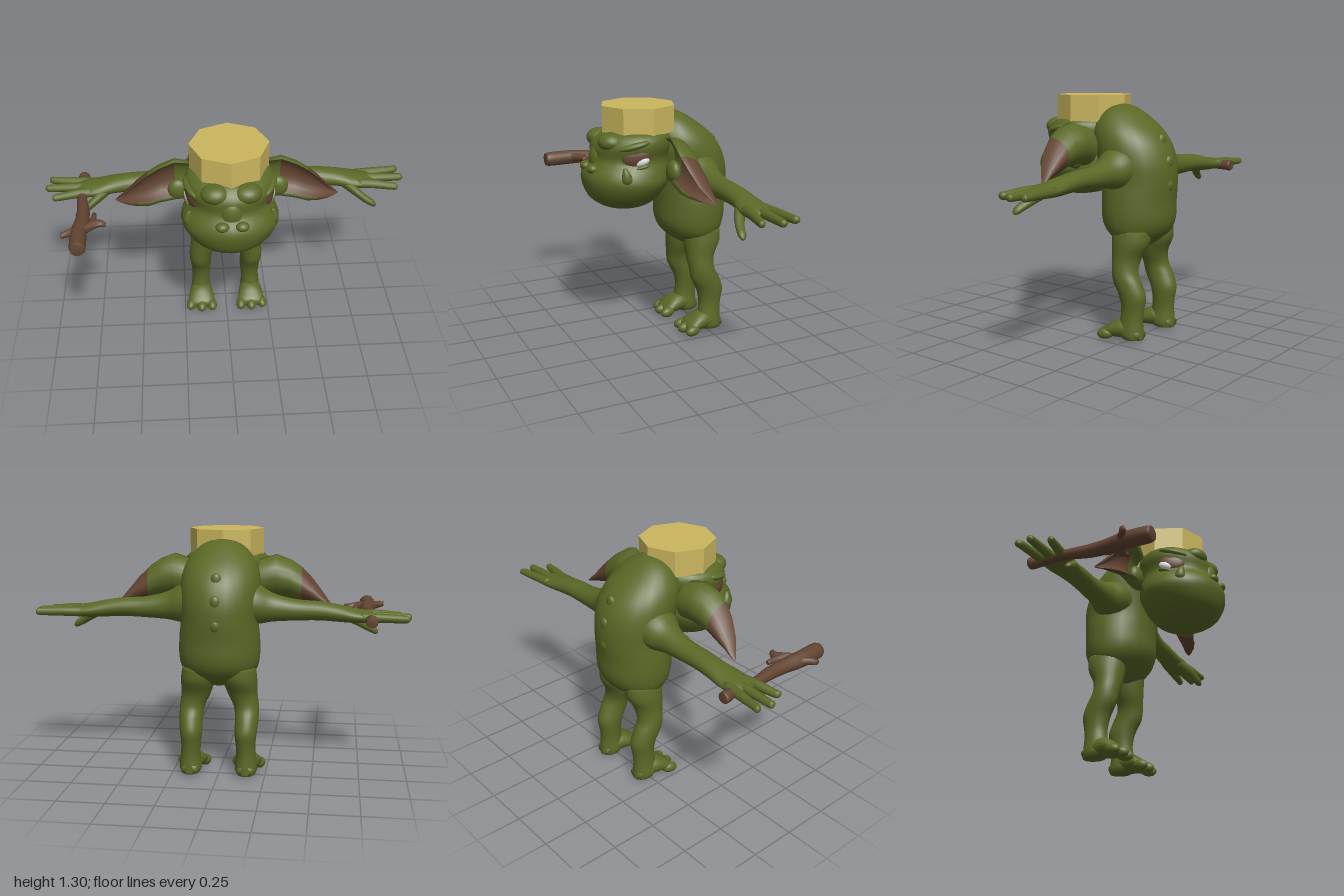
import * as THREE from 'three';

const mat = (name, color) => Object.assign(new THREE.MeshStandardMaterial({ color }), { name });
const green = mat('skinGreen', 0x5a6826);
const brown = mat('barkBrown', 0x624432);
const yellow = mat('hatYellow', 0xcab65e);
const white = mat('eyeWhite', 0xe2e2e2);

// Place (t, u, v) so that u x v points along the chosen axis
const PLACE = {
  x: (t, u, v) => [t, u, v],
  y: (t, u, v) => [v, t, u],
  z: (t, u, v) => [u, v, t],
};

// Smooth closed skin over elliptical sections [t, u, v, ru, rv], t ascending
function loft(axis, sections, steps = 4, sides = 24) {
  const centre = new THREE.CatmullRomCurve3(sections.map(s => new THREE.Vector3(s[0], s[1], s[2])), false, 'catmullrom');
  const radius = new THREE.CatmullRomCurve3(sections.map(s => new THREE.Vector3(s[3], s[4] ?? s[3], 0)), false, 'catmullrom');
  const rings = (sections.length - 1) * steps;
  const pos = [], idx = [];
  for (let i = 0; i <= rings; i++) {
    const c = centre.getPoint(i / rings), r = radius.getPoint(i / rings);
    for (let j = 0; j < sides; j++) {
      const a = (j / sides) * Math.PI * 2;
      pos.push(...PLACE[axis](c.x, c.y + Math.cos(a) * r.x, c.z + Math.sin(a) * r.y));
    }
  }
  for (let i = 0; i < rings; i++) for (let j = 0; j < sides; j++) {
    const a = i * sides + j, b = i * sides + (j + 1) % sides;
    idx.push(a, b, a + sides, b, b + sides, a + sides);
  }
  const first = sections[0], last = sections[sections.length - 1], n = pos.length / 3;
  pos.push(...PLACE[axis](first[0], first[1], first[2]), ...PLACE[axis](last[0], last[1], last[2]));
  for (let j = 0; j < sides; j++) {
    const k = (j + 1) % sides;
    idx.push(n, k, j, n + 1, rings * sides + j, rings * sides + k);
  }
  return finish(pos, idx);
}

function finish(pos, idx) {
  const g = new THREE.BufferGeometry();
  g.setAttribute('position', new THREE.Float32BufferAttribute(pos, 3));
  g.setIndex(idx);
  g.computeVertexNormals();
  return g;
}

// Upright section given by its front and back z: [y, front, back, halfWidth, x]
const upright = rows => loft('y', rows.map(([y, f, b, rx, x = 0]) => [y, (f + b) / 2, x, (f - b) / 2, rx]));

function ellipsoid(x, y, z, rx, ry, rz, turn = [0, 0, 0]) {
  const g = new THREE.SphereGeometry(1, 24, 16);
  g.scale(rx, ry, rz);
  g.applyMatrix4(new THREE.Matrix4().makeRotationFromEuler(new THREE.Euler(...turn, 'YXZ')));
  return g.translate(x, y, z);
}

function mirrored(geometry) {
  const g = geometry.clone().scale(-1, 1, 1);
  const a = g.index.array;
  for (let i = 0; i < a.length; i += 3) [a[i], a[i + 1]] = [a[i + 1], a[i]];
  return g;
}

// Hooded ear: bulging back shell plus a hollow front, brown inside and at the tip
function earGeometry() {
  // x, top, bottom, rim z, depth
  const rows = [
    [0.19, 1.14, 0.93, 0.03, 0.10], [0.28, 1.165, 0.935, 0.05, 0.13], [0.36, 1.135, 0.925, 0.06, 0.13],
    [0.42, 1.095, 0.905, 0.06, 0.125], [0.48, 1.035, 0.895, 0.045, 0.11], [0.54, 0.96, 0.887, 0.015, 0.075],
    [0.58, 0.91, 0.88, -0.02, 0.04], [0.605, 0.882, 0.878, -0.045, 0.005]];
  const half = 12, sides = half * 2, pos = [], parts = [[], []];
  for (const [x, top, bottom, rim, depth] of rows) for (let j = 0; j < sides; j++) {
    const outer = j <= half;
    const a = (outer ? j : sides - j) / half * Math.PI;
    const h = (top - bottom) / 2 * (outer ? 1 : 0.9);
    pos.push(x, (top + bottom) / 2 + h * Math.cos(a), rim - depth * Math.sin(a) * (outer ? 1 : 0.55));
  }
  for (let i = 0; i < rows.length - 1; i++) for (let j = 0; j < sides; j++) {
    const a = i * sides + j, b = i * sides + (j + 1) % sides;
    const inside = j > half && j < sides - 3 && i > 0;
    parts[i >= 3 && (j < half || i > 3 || inside) || inside ? 1 : 0].push(a, a + sides, b, b, a + sides, b + sides);
  }
  // Turn faces so the back shell looks towards -z
  const flip = list => { for (let i = 0; i < list.length; i += 3) [list[i], list[i + 1]] = [list[i + 1], list[i]]; };
  const [ax, ay, az] = [0, 1, 2].map(k => pos[(sides + 6) * 3 + k] - pos[6 * 3 + k]);
  const [bx, by] = [0, 1].map(k => pos[7 * 3 + k] - pos[6 * 3 + k]);
  if (ax * by - ay * bx > 0) parts.forEach(flip);
  const g = finish(pos, [...parts[0], ...parts[1]]);
  g.addGroup(0, parts[0].length, 0);
  g.addGroup(parts[0].length, parts[1].length, 1);
  return g;
}

export function createModel() {
  const model = new THREE.Group();
  model.name = 'creature';
  const add = (name, geometry, material) => {
    const m = new THREE.Mesh(geometry, material);
    m.name = name;
    model.add(m);
  };
  const pair = (name, geometry, material) => {
    add(name + 'Left', geometry, material);
    add(name + 'Right', mirrored(geometry), material);
  };

  // Hunched body
  add('body', upright([
    [0.50, -0.16, -0.27, 0.05], [0.53, -0.11, -0.31, 0.14], [0.58, -0.05, -0.365, 0.195],
    [0.65, -0.015, -0.395, 0.215], [0.75, -0.01, -0.40, 0.215], [0.85, 0, -0.41, 0.205],
    [0.95, 0.02, -0.405, 0.21], [1.05, 0.05, -0.37, 0.21], [1.13, 0.05, -0.305, 0.19],
    [1.20, 0.02, -0.215, 0.14], [1.24, -0.03, -0.15, 0.08], [1.255, -0.08, -0.11, 0.015]]), green);
  for (const [y, z] of [[0.84, -0.395], [0.96, -0.39], [1.07, -0.345]])
    add('spineBump', ellipsoid(0, y, z, 0.028, 0.035, 0.02), green);

  // Head with a heavy muzzle
  add('head', upright([
    [0.748, 0.23, 0.16, 0.04], [0.77, 0.31, 0.06, 0.125], [0.82, 0.38, 0, 0.2],
    [0.90, 0.412, -0.05, 0.252], [0.96, 0.41, -0.06, 0.245], [1.03, 0.365, -0.06, 0.213],
    [1.10, 0.362, -0.07, 0.232], [1.15, 0.325, -0.06, 0.22], [1.175, 0.27, -0.02, 0.17],
    [1.18, 0.15, 0.1, 0.03]]), green);
  add('noseBridge', ellipsoid(0, 1.03, 0.335, 0.06, 0.08, 0.045), green);
  pair('nostril', ellipsoid(0.05, 0.985, 0.385, 0.035, 0.025, 0.03), green);
  pair('forehead', ellipsoid(0.08, 1.125, 0.29, 0.075, 0.05, 0.07), green);
  pair('brow', ellipsoid(0.19, 1.115, 0.21, 0.04, 0.022, 0.085, [0.25, -0.4, 0]), green);
  pair('eyeSocket', ellipsoid(0.196, 1.055, 0.2, 0.025, 0.053, 0.075, [0.15, -0.35, 0]), brown);
  pair('eye', ellipsoid(0.21, 1.036, 0.178, 0.02, 0.025, 0.045, [0.3, -0.4, 0]), white);
  pair('eyelid', ellipsoid(0.207, 1.004, 0.18, 0.023, 0.012, 0.05, [0.25, -0.4, 0]), green);
  pair('tusk', upright([
    [0.92, 0.285, 0.215, 0.03, 0.2], [0.945, 0.29, 0.222, 0.032, 0.212],
    [0.98, 0.285, 0.242, 0.022, 0.217], [1.01, 0.278, 0.262, 0.008, 0.212]]), green);

  // Ears
  pair('ear', earGeometry(), [green, brown]);
  pair('earLobe', ellipsoid(0.265, 0.98, 0.02, 0.055, 0.06, 0.035), green);

  // Octagonal hat
  const hat = new THREE.CylinderGeometry(0.204, 0.204, 0.14, 8).toNonIndexed();
  hat.computeVertexNormals();
  add('hat', hat.translate(0, 1.232, 0.103), yellow);

  // Arms and three-fingered hands: [x, y, z, half height, half depth]
  pair('arm', loft('x', [
    [0.08, 0.94, -0.18, 0.13, 0.14], [0.2, 0.925, -0.18, 0.105, 0.11], [0.28, 0.91, -0.185, 0.075, 0.075],
    [0.4, 0.9, -0.19, 0.056, 0.06], [0.52, 0.898, -0.19, 0.05, 0.06], [0.62, 0.888, -0.19, 0.045, 0.065],
    [0.7, 0.877, -0.185, 0.038, 0.078], [0.78, 0.872, -0.185, 0.03, 0.075], [0.82, 0.87, -0.187, 0.015, 0.05]]), green);
  for (const [x, y, z, z0] of [[0.98, 0.875, -0.268, -0.235], [0.995, 0.872, -0.19, -0.187], [0.95, 0.868, -0.1, -0.135]])
    pair('finger', loft('x', [
      [0.73, 0.874, z0, 0.026], [0.82, 0.875, (z0 * 2 + z) / 3, 0.025], [x - 0.04, y, z * 0.8 + z0 * 0.2, 0.021],
      [x - 0.01, y, z, 0.018], [x, y, z, 0.005]], 4, 12), green);
  pair('thumb', loft('x', [
    [0.64, 0.88, -0.16, 0.03], [0.71, 0.845, -0.115, 0.031], [0.77, 0.805, -0.085, 0.025],
    [0.815, 0.78, -0.073, 0.02], [0.832, 0.77, -0.07, 0.006]], 4, 12), green);

  // Legs, feet and toes
  pair('leg', upright([
    [0.02, -0.21, -0.335, 0.05, 0.15], [0.05, -0.19, -0.335, 0.06, 0.15], [0.12, -0.2, -0.33, 0.053, 0.15],
    [0.18, -0.205, -0.335, 0.053, 0.147], [0.25, -0.19, -0.345, 0.06, 0.147], [0.32, -0.155, -0.32, 0.063, 0.15],
    [0.38, -0.145, -0.29, 0.068, 0.145], [0.45, -0.135, -0.295, 0.08, 0.125], [0.53, -0.125, -0.335, 0.092, 0.112],
    [0.6, -0.12, -0.34, 0.09, 0.105]]), green);
  pair('foot', loft('z', [
    [-0.33, 0.15, 0.045, 0.04, 0.025], [-0.25, 0.15, 0.07, 0.06, 0.052], [-0.19, 0.15, 0.066, 0.072, 0.052],
    [-0.14, 0.15, 0.05, 0.076, 0.036], [-0.11, 0.15, 0.04, 0.055, 0.02]]), green);
  for (const [x, z, turn] of [[0.09, -0.125, -0.2], [0.15, -0.118, 0], [0.212, -0.135, 0.25]])
    pair('toe', ellipsoid(x, 0.036, z, 0.029, 0.03, 0.046, [0.15, turn, 0]), green);

  // Branching stick held in the right hand
  add('stick', loft('z', [
    [-0.315, -0.79, 0.865, 0.028], [-0.3, -0.79, 0.865, 0.032], [-0.24, -0.785, 0.865, 0.027],
    [-0.1, -0.79, 0.862, 0.027], [0.02, -0.775, 0.86, 0.034], [0.12, -0.775, 0.86, 0.038],
    [0.22, -0.785, 0.862, 0.043], [0.34, -0.782, 0.862, 0.043], [0.37, -0.782, 0.862, 0.036]], 4, 12), brown);
  add('stickBranch', loft('x', [
    [-0.79, 0.862, 0.24, 0.025, 0.035], [-0.73, 0.868, 0.175, 0.025, 0.03],
    [-0.68, 0.868, 0.15, 0.018, 0.023], [-0.65, 0.868, 0.165, 0.012, 0.016]], 4, 12), brown);
  add('stickTwig', loft('z', [
    [0.07, -0.712, 0.87, 0.012], [0.12, -0.715, 0.87, 0.017], [0.18, -0.735, 0.868, 0.024]], 4, 12), brown);
  add('stickStub', loft('x', [
    [-0.872, 0.872, 0.252, 0.014, 0.016], [-0.84, 0.87, 0.235, 0.02], [-0.78, 0.862, 0.18, 0.025, 0.035]], 4, 12), brown);
  return model;
}
